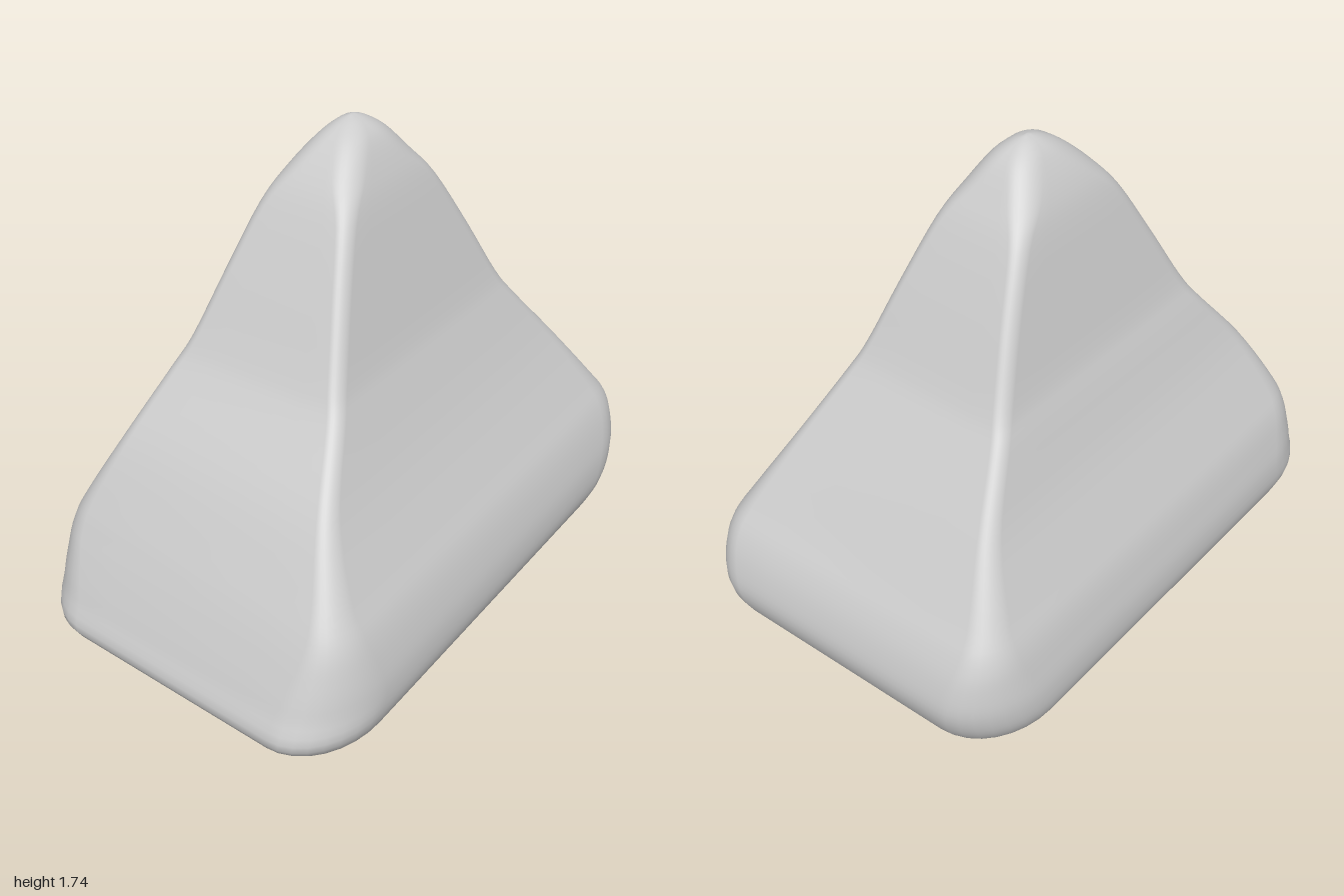
import * as THREE from 'three';

// Cross-sections from base to tip: [y, left edge, right edge, front, back, corner radius]
const SECTIONS = [
  [0, -0.67, 0.65, 0.40, -0.39, 0.17],
  [0.045, -0.83, 0.79, 0.51, -0.505, 0.22],
  [0.1, -0.91, 0.89, 0.565, -0.565, 0.26],
  [0.2, -0.998, 0.965, 0.615, -0.615, 0.29],
  [0.3, -0.965, 0.998, 0.62, -0.62, 0.28],
  [0.4, -0.92, 0.98, 0.60, -0.60, 0.22],
  [0.5, -0.87, 0.935, 0.565, -0.57, 0.15],
  [0.6, -0.81, 0.86, 0.51, -0.52, 0.10],
  [0.8, -0.68, 0.715, 0.405, -0.42, 0.06],
  [1.0, -0.515, 0.56, 0.315, -0.34, 0.05],
  [1.1, -0.45, 0.495, 0.275, -0.30, 0.05],
  [1.3, -0.345, 0.395, 0.215, -0.245, 0.05],
  [1.5, -0.235, 0.285, 0.155, -0.19, 0.055],
  [1.6, -0.165, 0.215, 0.115, -0.15, 0.085],
  [1.68, -0.085, 0.15, 0.07, -0.10, 0.08],
  [1.72, -0.02, 0.095, 0.025, -0.06, 0.05],
  [1.735, 0.025, 0.055, -0.012, -0.028, 0.01],
];
const STEPS = 4, ARC = 8, EDGE = 6;

// Smooth interpolation of one section column
function sample(column, t) {
  const last = SECTIONS.length - 1;
  const i = Math.min(Math.floor(t), last - 1), f = t - i;
  const p = (k) => SECTIONS[THREE.MathUtils.clamp(k, 0, last)][column];
  const a = p(i - 1), b = p(i), c = p(i + 1), d = p(i + 2);
  return b + 0.5 * f * (c - a + f * (2 * a - 5 * b + 4 * c - d + f * (3 * (b - c) + d - a)));
}

// Rounded rectangle at parameter t, slightly narrower toward the back near the base
function ring(t) {
  const [y, l, r, f, b, radius] = [0, 1, 2, 3, 4, 5].map((c) => sample(c, t));
  const hx = (r - l) / 2, hz = (f - b) / 2;
  const rx = Math.min(radius, hx * 0.95), rz = Math.min(radius * 0.75, hz * 0.95);
  const outline = [];
  [[1, 1], [-1, 1], [-1, -1], [1, -1]].forEach(([sx, sz], k) => {
    for (let j = 0; j <= ARC; j++) {
      const a = (k + j / ARC) * Math.PI / 2;
      outline.push([sx * (hx - rx) + rx * Math.cos(a), sz * (hz - rz) + rz * Math.sin(a)]);
    }
  });
  const points = [];
  const taper = 0.044 * THREE.MathUtils.clamp((1 - y) / 0.5, 0, 1);
  const add = (x, z0) => {
    const z = z0 + (f + b) / 2;
    points.push([(x + (l + r) / 2) * (1 - taper * Math.max(0, 0.45 - z)), y, z]);
  };
  outline.forEach(([x, z], i) => {
    add(x, z);
    if (i % (ARC + 1) === ARC) {
      const [nx, nz] = outline[(i + 1) % outline.length];
      for (let j = 1; j < EDGE; j++) add(x + (nx - x) * j / EDGE, z + (nz - z) * j / EDGE);
    }
  });
  return points;
}

function loft() {
  const count = (SECTIONS.length - 1) * STEPS + 1;
  const rings = Array.from({ length: count }, (_, i) => ring(i / STEPS));
  const n = rings[0].length;
  const positions = rings.flat(2), index = [];
  const base = count * n, tip = base + 1;
  positions.push(0, 0, 0, 0.04, 1.738, -0.02);
  for (let j = 0; j < n; j++) {
    const k = (j + 1) % n;
    for (let i = 0; i < count - 1; i++) {
      const a = i * n + j, b = i * n + k;
      index.push(a, a + n, b, b, a + n, b + n);
    }
    index.push(base, j, k, tip, (count - 1) * n + k, (count - 1) * n + j);
  }
  const geometry = new THREE.BufferGeometry();
  geometry.setAttribute('position', new THREE.Float32BufferAttribute(positions, 3));
  geometry.setIndex(index);
  geometry.computeVertexNormals();
  return geometry;
}

export function createModel() {
  const stone = new THREE.MeshStandardMaterial({ color: 0xcccccc });
  stone.name = 'light grey stone';
  const rock = new THREE.Mesh(loft(), stone);
  rock.name = 'rock';
  const group = new THREE.Group();
  group.name = 'pyramidRock';
  group.add(rock);
  return group;
}
